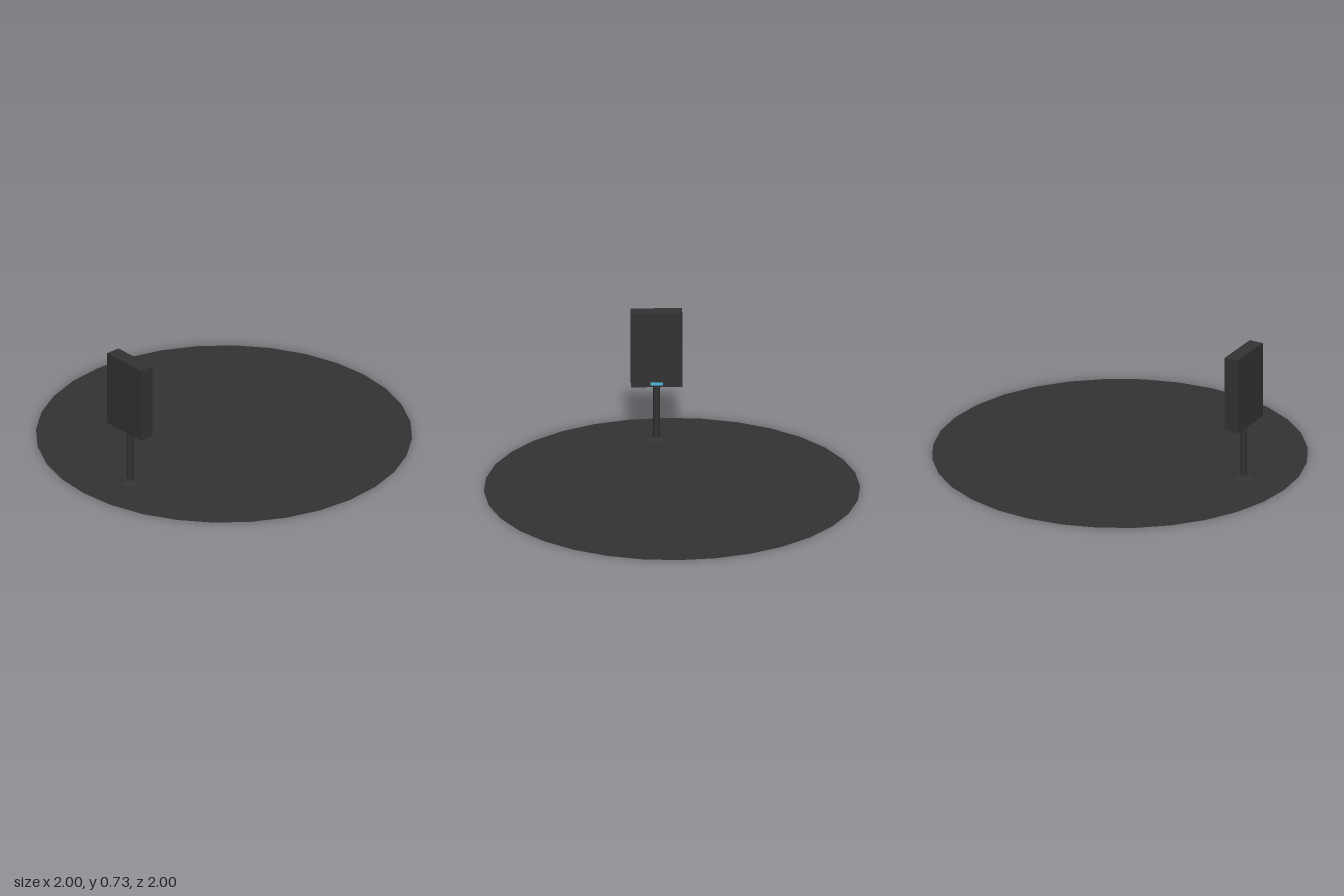
import * as THREE from 'three';

export function createModel() {
  const model = new THREE.Group();
  const dark = new THREE.MeshStandardMaterial({ color: 0x333333 });
  const darkTwoSided = new THREE.MeshStandardMaterial({ color: 0x333333, side: THREE.DoubleSide });
  const blue = new THREE.MeshStandardMaterial({ color: 0x4fb8dc });

  function add(parent, name, geometry, material, x, y, z) {
    const mesh = new THREE.Mesh(geometry, material);
    mesh.name = name;
    mesh.position.set(x, y, z);
    parent.add(mesh);
    return mesh;
  }

  // Flat round floor
  add(model, 'floorDisc', new THREE.CircleGeometry(1, 32).rotateX(-Math.PI / 2), darkTwoSided, 0, 0, 0);

  // Kiosk near the rim, its panel turned towards the middle of the floor
  const kiosk = new THREE.Group();
  kiosk.name = 'kiosk';
  kiosk.position.set(-0.471, 0, 0.55);
  kiosk.rotation.y = -Math.PI / 4;
  model.add(kiosk);

  // Tapered foot, pole and cabinet
  add(kiosk, 'foot', new THREE.CylinderGeometry(0.045, 0.06, 0.012, 16), dark, 0, 0.006, 0);
  add(kiosk, 'pole', new THREE.CylinderGeometry(0.018, 0.018, 0.3, 16), dark, 0, 0.16, 0);
  add(kiosk, 'cabinet', new THREE.BoxGeometry(0.272, 0.42, 0.08), dark, 0, 0.517, 0);

  // Small light strip low on the inward face
  add(kiosk, 'lightStrip', new THREE.BoxGeometry(0.068, 0.015, 0.006), blue, 0, 0.326, -0.041);

  return model;
}
